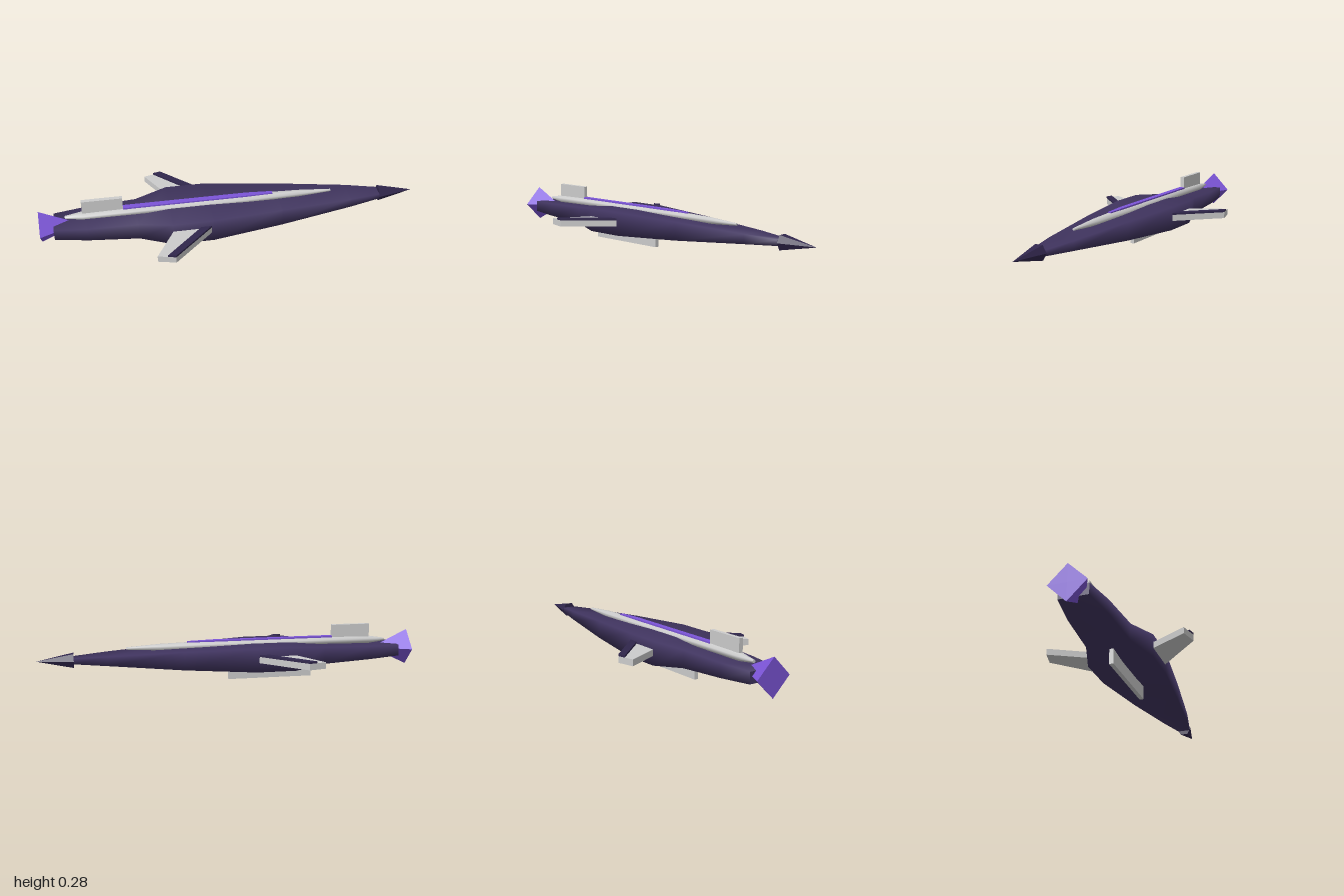
import * as THREE from 'three';

const material = (color, flatShading = false) => new THREE.MeshStandardMaterial({ color, flatShading });

// Loft along x. Stations are [x, halfWidth, bottom, top]; section is a unit outline of [y, z], turning from y to z.
function loft(stations, section) {
  const pos = [], idx = [], n = section.length;
  const ring = ([x, w, lo, hi]) => {
    const first = pos.length / 3;
    for (const [y, z] of section) pos.push(x, (lo + hi) / 2 + (y * (hi - lo)) / 2, z * w);
    return first;
  };
  stations.forEach(ring);
  for (let i = 0; i < stations.length - 1; i++) {
    for (let j = 0; j < n; j++) {
      const a = i * n + j, b = i * n + ((j + 1) % n);
      idx.push(a, b, a + n, b, b + n, a + n);
    }
  }
  // end caps with their own corners, so the rims stay sharp
  const s = ring(stations[0]), e = ring(stations[stations.length - 1]);
  for (let j = 1; j < n - 1; j++) idx.push(s, s + j + 1, s + j, e, e + j, e + j + 1);
  const g = new THREE.BufferGeometry();
  g.setAttribute('position', new THREE.Float32BufferAttribute(pos, 3));
  g.setIndex(idx);
  g.computeVertexNormals();
  return g;
}

// Flat slab from a plan outline of [x, z], between two heights
function slab(points, y0, y1) {
  const shape = new THREE.Shape(points.map(([x, z]) => new THREE.Vector2(x, -z)));
  const g = new THREE.ExtrudeGeometry(shape, { depth: y1 - y0, bevelEnabled: false });
  return g.rotateX(-Math.PI / 2).translate(0, y0, 0);
}

function box(x0, x1, y0, y1, halfZ) {
  return new THREE.BoxGeometry(x1 - x0, y1 - y0, halfZ * 2).translate((x0 + x1) / 2, (y0 + y1) / 2, 0);
}

export function createModel() {
  const model = new THREE.Group();
  model.name = 'swordShip';
  const grey = material(0xcccccc, true);
  const hullMat = material(0x40345f);
  const darkMat = material(0x30264c, true);
  const violet = material(0x7c55d8, true);
  const add = (name, geometry, mat) => {
    const mesh = new THREE.Mesh(geometry, mat);
    mesh.name = name;
    model.add(mesh);
    return mesh;
  };

  // Long hull of rectangular section, widest at the wings
  add('hull', loft([
    [-0.93, 0.075, 0.105, 0.163],
    [-0.76, 0.1, 0.097, 0.168],
    [-0.5, 0.114, 0.085, 0.175],
    [-0.33, 0.172, 0.068, 0.192],
    [-0.12, 0.172, 0.068, 0.192],
    [0.25, 0.126, 0.085, 0.179],
    [0.64, 0.07, 0.112, 0.16],
    [0.81, 0.035, 0.121, 0.15],
  ], [[1, -1], [1, 1], [-1, 1], [-1, -1]]), hullMat);

  // Pointed nose
  add('noseCone', new THREE.ConeGeometry(0.042, 0.19, 6)
    .rotateX(Math.PI).rotateZ(Math.PI / 2).translate(0.905, 0.135, 0), darkMat);

  // Four-sided exhaust, flaring backwards
  add('tailCone', new THREE.ConeGeometry(0.096, 0.2, 4)
    .rotateZ(-Math.PI / 2).translate(-0.9, 0.14, 0), violet);

  // Slim rounded spine on the deck, with an inlaid stripe
  const octagon = Array.from({ length: 8 }, (_, i) => {
    const a = ((i + 0.5) * Math.PI) / 4;
    return [Math.cos(a) * 1.08, Math.sin(a) * 1.08];
  });
  add('spine', loft([
    [-0.87, 0.008, 0.178, 0.192],
    [-0.78, 0.026, 0.168, 0.205],
    [-0.52, 0.03, 0.168, 0.209],
    [0.08, 0.03, 0.168, 0.209],
    [0.36, 0.019, 0.17, 0.203],
    [0.54, 0.006, 0.18, 0.192],
  ], octagon), material(0xcccccc));
  add('spineStripe', loft([
    [-0.57, 0.015, 0.19, 0.215],
    [0.08, 0.015, 0.19, 0.215],
    [0.22, 0.009, 0.19, 0.212],
  ], [[1, -1], [1, 1], [-1, 1], [-1, -1]]), violet);

  // Upright fin and keel
  add('topFin', box(-0.78, -0.57, 0.19, 0.275, 0.011), grey);
  add('keelFin', box(-0.455, 0, 0, 0.09, 0.011), grey);

  // Swept wings with a dark strip over the leading edge
  const wing = [[-0.06, 0.1], [-0.34, 0.38], [-0.43, 0.357], [-0.29, 0.1]];
  const strip = [[-0.06, 0.1], [-0.34, 0.38], [-0.38, 0.37], [-0.115, 0.1]];
  for (const [side, s] of [['left', -1], ['right', 1]]) {
    const mirror = (points) => points.map(([x, z]) => [x, z * s]);
    add(side + 'Wing', slab(mirror(wing), 0.117, 0.15), grey);
    add(side + 'WingEdge', slab(mirror(strip), 0.15, 0.16), darkMat);
  }
  return model;
}
